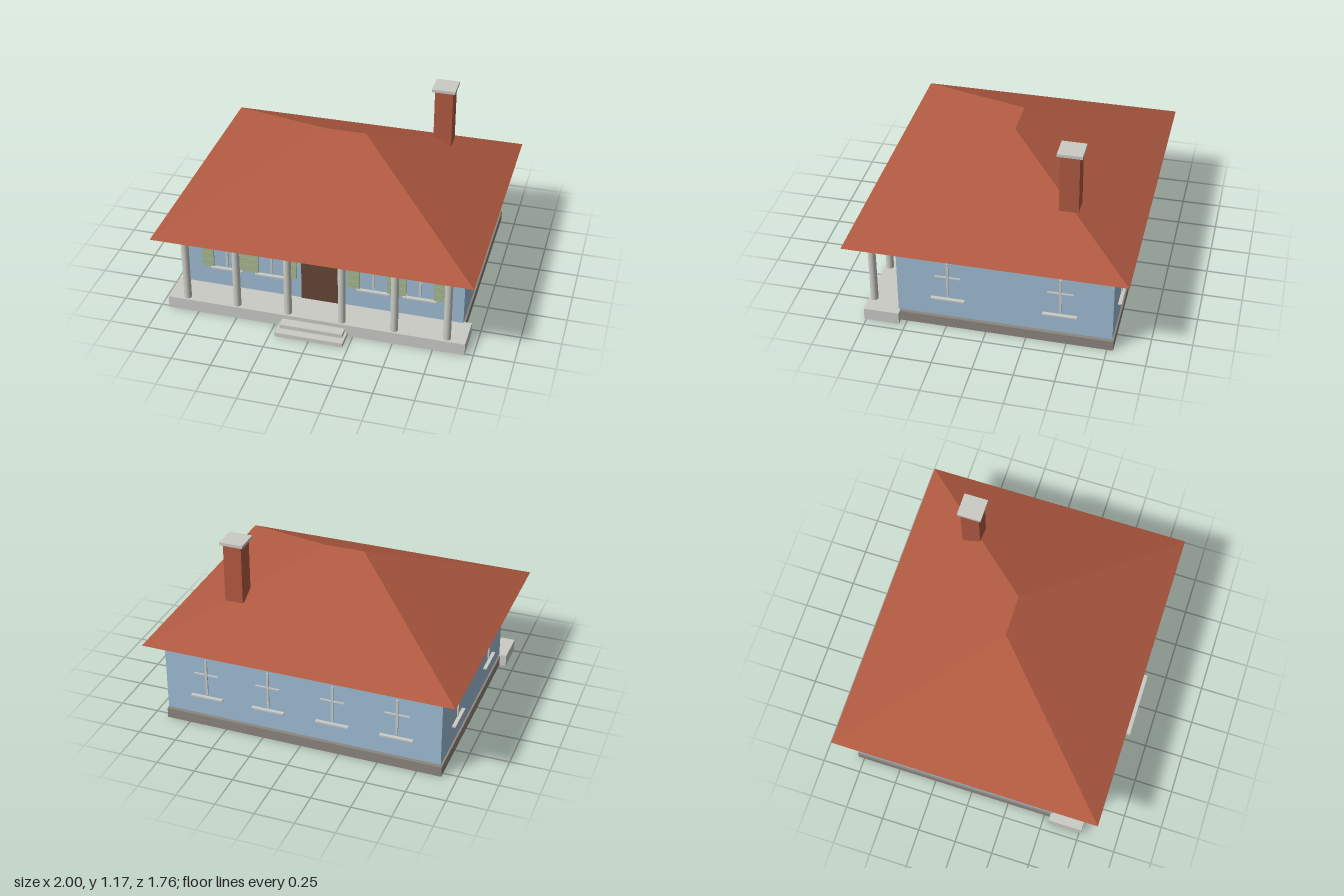
import * as THREE from 'three';

const paint = (name, color, side = THREE.FrontSide) => {
  const m = new THREE.MeshStandardMaterial({ color, side });
  m.name = name;
  return m;
};

export function createModel() {
  const house = new THREE.Group();
  house.name = 'house';
  const wallBlue = paint('wall blue', 0x9fbdd4);
  const roofRed = paint('roof red', 0xb15a41, THREE.DoubleSide);
  const stone = paint('pale stone', 0xcbcbc6, THREE.DoubleSide);
  const baseGrey = paint('foundation grey', 0x8c867d, THREE.DoubleSide);
  const shutterGreen = paint('shutter green', 0xa6b991);
  const doorBrown = paint('door brown', 0x654634);
  const brass = paint('brass', 0x8a7a4a);

  // Box given by its extents; open boxes have no underside
  const box = (parent, name, mat, [x0, x1], [y0, y1], [z0, z1], open = false) => {
    const g = new THREE.BoxGeometry(x1 - x0, y1 - y0, z1 - z0);
    if (open) {
      g.setIndex([...g.index.array].filter((_, i) => i < 18 || i >= 24));
      g.clearGroups();
    }
    const mesh = new THREE.Mesh(g, mat);
    mesh.name = name;
    mesh.position.set((x0 + x1) / 2, (y0 + y1) / 2, (z0 + z1) / 2);
    parent.add(mesh);
    return mesh;
  };

  // Body, foundation, porch and steps
  const WX = 0.897, WF = 0.553, WB = -0.78;
  box(house, 'foundation', baseGrey, [-0.905, 0.905], [0, 0.067], [-0.788, 0.545], true);
  box(house, 'walls', wallBlue, [-WX, WX], [0.08, 0.565], [WB, WF]);
  box(house, 'porch', stone, [-0.948, 0.948], [0, 0.08], [0.54, 0.762], true);
  box(house, 'upperStep', stone, [-0.2, 0.2], [0.027, 0.053], [0.762, 0.827], true);
  box(house, 'lowerStep', stone, [-0.216, 0.216], [0, 0.027], [0.762, 0.88], true);

  // Porch columns
  const columnGeo = new THREE.CylinderGeometry(0.024, 0.024, 0.485, 24);
  for (const x of [0.172, 0.502, 0.83]) {
    for (const s of [-1, 1]) {
      const column = new THREE.Mesh(columnGeo, stone);
      column.name = 'column';
      column.position.set(s * x, 0.3225, 0.728);
      house.add(column);
    }
  }

  // Hipped roof with a flat soffit
  const E = 0.563, T = 0.993, ZF = 0.861, ZB = -0.88, ZR = -0.01;
  const fl = [-1, E, ZF], fr = [1, E, ZF], br = [1, E, ZB], bl = [-1, E, ZB];
  const rl = [-0.13, T, ZR], rr = [0.13, T, ZR];
  const faces = [
    [fl, fr, rr, rl], [br, bl, rl, rr], [fr, br, rr], [bl, fl, rl], [fl, bl, br, fr],
  ];
  const corners = [];
  for (const f of faces) {
    for (let i = 1; i < f.length - 1; i++) corners.push(...f[0], ...f[i], ...f[i + 1]);
  }
  const roofGeo = new THREE.BufferGeometry();
  roofGeo.setAttribute('position', new THREE.Float32BufferAttribute(corners, 3));
  roofGeo.computeVertexNormals();
  const roof = new THREE.Mesh(roofGeo, roofRed);
  roof.name = 'roof';
  house.add(roof);

  // Chimney
  box(house, 'chimney', roofRed, [0.484, 0.602], [0.76, 1.149], [-0.503, -0.383]);
  box(house, 'chimneyCap', stone, [0.467, 0.617], [1.149, 1.168], [-0.52, -0.366]);

  // Door and handle
  box(house, 'door', doorBrown, [-0.135, 0.133], [0.08, 0.493], [WF, WF + 0.006]);
  box(house, 'doorHandle', brass, [0.101, 0.113], [0.272, 0.3], [WF, WF + 0.02]);

  // Window: glazing bars and sill, facing local +z
  const addWindow = (x, z, turn, top, crossY) => {
    const w = new THREE.Group();
    w.name = 'window';
    box(w, 'uprightBar', stone, [-0.007, 0.007], [0.234, top], [0, 0.01]);
    box(w, 'crossBar', stone, [-0.08, 0.08], [crossY - 0.004, crossY + 0.004], [0, 0.009]);
    box(w, 'sill', stone, [-0.106, 0.106], [0.211, 0.22], [0, 0.023]);
    w.position.set(x, 0, z);
    w.rotation.y = turn;
    house.add(w);
    return w;
  };

  // Louvred shutter
  const addShutter = (parent, x) => {
    const s = new THREE.Group();
    s.name = 'shutter';
    box(s, 'shutterPanel', shutterGreen, [-0.038, 0.038], [0.219, 0.527], [0, 0.01]);
    for (let i = 0; i < 5; i++) {
      const y = 0.27 + i * 0.051;
      box(s, 'slat', shutterGreen, [-0.03, 0.03], [y - 0.003, y + 0.003], [0.01, 0.013]);
    }
    s.position.x = x;
    parent.add(s);
  };

  for (const s of [-1, 1]) {
    for (const x of [0.328, 0.621]) {
      const w = addWindow(s * x, WF, 0, 0.508, 0.388);
      for (const side of [-1, 1]) addShutter(w, side * 0.125);
    }
    for (const x of [0.21, 0.62]) addWindow(s * x, WB, Math.PI, 0.48, 0.376);
    for (const z of [0.234, -0.459]) addWindow(s * WX, z, s * Math.PI / 2, 0.48, 0.376);
  }
  return house;
}
